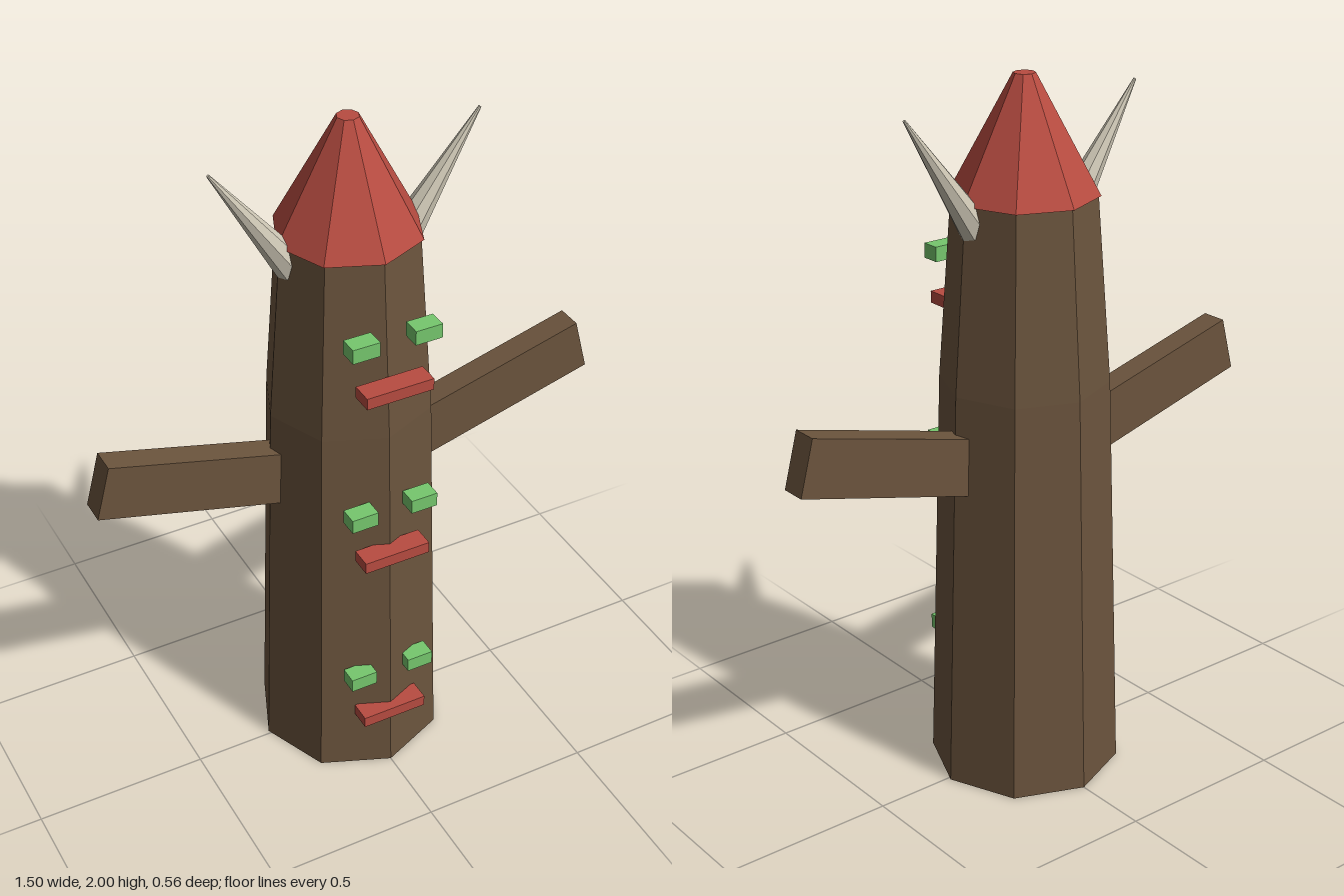
import * as THREE from 'three';

const CENTRE_Z = -0.01;

function material(name, color) {
  const m = new THREE.MeshStandardMaterial({ color, flatShading: true });
  m.name = name;
  return m;
}

export function createModel() {
  const wood = material('brown wood', 0x6b543d);
  const red = material('red paint', 0xb84c41);
  const green = material('green paint', 0x76c86e);
  const bone = material('pale bone', 0xcec7b5);

  const model = new THREE.Group();
  model.name = 'totemPole';

  function add(name, geometry, mat, x, y, z, parent = model) {
    const mesh = new THREE.Mesh(geometry, mat);
    mesh.name = name;
    mesh.position.set(x, y, z);
    parent.add(mesh);
    return mesh;
  }

  // Octagonal tapering trunk, in stacked blocks: [bottom y, top y, bottom radius, top radius]
  const blocks = [
    [0, 0.6, 0.27, 0.251],
    [0.6, 1.165, 0.251, 0.233],
    [1.165, 1.68, 0.233, 0.195],
  ];
  blocks.forEach(([y0, y1, r0, r1], i) => {
    const geometry = new THREE.CylinderGeometry(r1, r0, y1 - y0, 8, 1, i === 1);
    add('trunkBlock' + (i + 1), geometry, wood, 0, (y0 + y1) / 2, CENTRE_Z);
  });

  // Pointed cap with a small flat tip
  add('cap', new THREE.CylinderGeometry(0.03, 0.202, 0.32, 8), red, 0, 1.84, CENTRE_Z);

  // Three stacked faces: two eyes and a mouth each
  [0.21, 0.793, 1.341].forEach((y, i) => {
    const face = new THREE.Group();
    face.name = 'face' + (i + 1);
    model.add(face);
    add('mouth', new THREE.BoxGeometry(0.195, 0.034, 0.062), red, 0, y, 0.248, face);
    for (const [side, s] of [['left', 1], ['right', -1]]) {
      add(side + 'Eye', new THREE.BoxGeometry(0.078, 0.042, 0.052), green, s * 0.09, y + 0.144, 0.235, face);
    }
  });

  // Raised arms and outward-leaning horns
  for (const [side, s] of [['left', 1], ['right', -1]]) {
    const arm = add(side + 'Arm', new THREE.BoxGeometry(0.58, 0.16, 0.075), wood, s * 0.45, 1.033, CENTRE_Z - 0.002);
    arm.rotation.z = s * 0.262;

    const horn = add(side + 'Horn', new THREE.CylinderGeometry(0.004, 0.045, 0.383, 8), bone, s * 0.272, 1.773, CENTRE_Z);
    horn.rotation.z = -s * 0.6;
  }

  return model;
}
